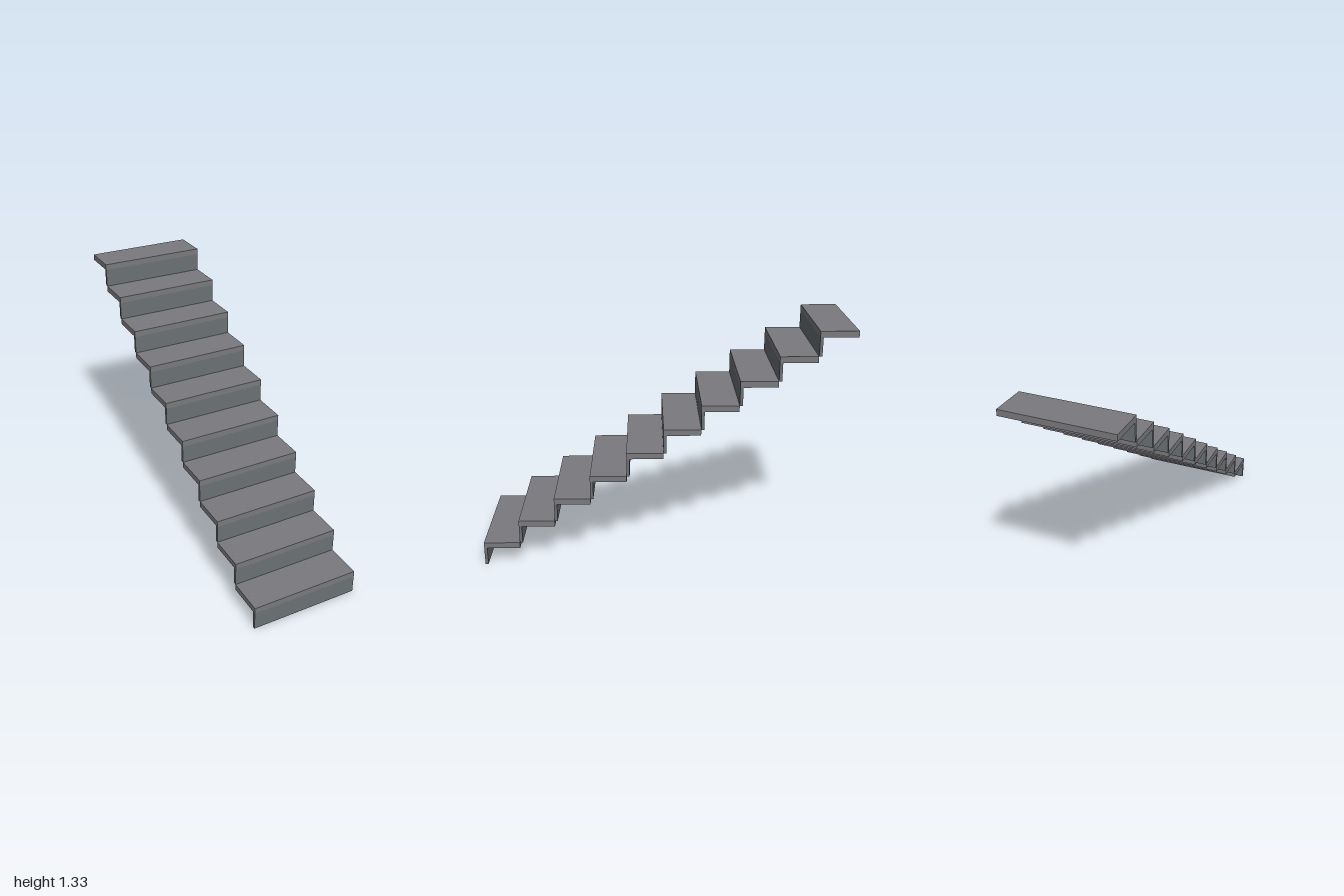
import * as THREE from 'three';

const STEPS = 10;
const WIDTH = 0.6;
const RUN = 2 / STEPS;
const RISE = 4 / 3 / STEPS;
const TREAD_T = 0.0333; // tread thickness
const RISER_T = 0.0167; // riser thickness

export function createModel() {
  const staircase = new THREE.Group();
  staircase.name = 'staircase';

  const treadMat = new THREE.MeshStandardMaterial({ color: 0x7b7b7f });
  const riserMat = new THREE.MeshStandardMaterial({ color: 0x6b7174 });
  const riserH = RISE - TREAD_T;
  const treadGeo = new THREE.BoxGeometry(WIDTH, TREAD_T, RUN);
  const riserGeo = new THREE.BoxGeometry(WIDTH, riserH, RISER_T);

  for (let i = 0; i < STEPS; i++) {
    const step = new THREE.Group();
    step.name = `step${i + 1}`;
    // origin of each step: bottom of its front edge
    step.position.set(0, i * RISE, 1 - i * RUN);

    // upright board, flush with the front of the tread it carries
    const riser = new THREE.Mesh(riserGeo, riserMat);
    riser.name = 'riser';
    riser.position.set(0, riserH / 2, -RISER_T / 2);

    // flat board on top
    const tread = new THREE.Mesh(treadGeo, treadMat);
    tread.name = 'tread';
    tread.position.set(0, RISE - TREAD_T / 2, -RUN / 2);

    step.add(riser, tread);
    staircase.add(step);
  }
  return staircase;
}
